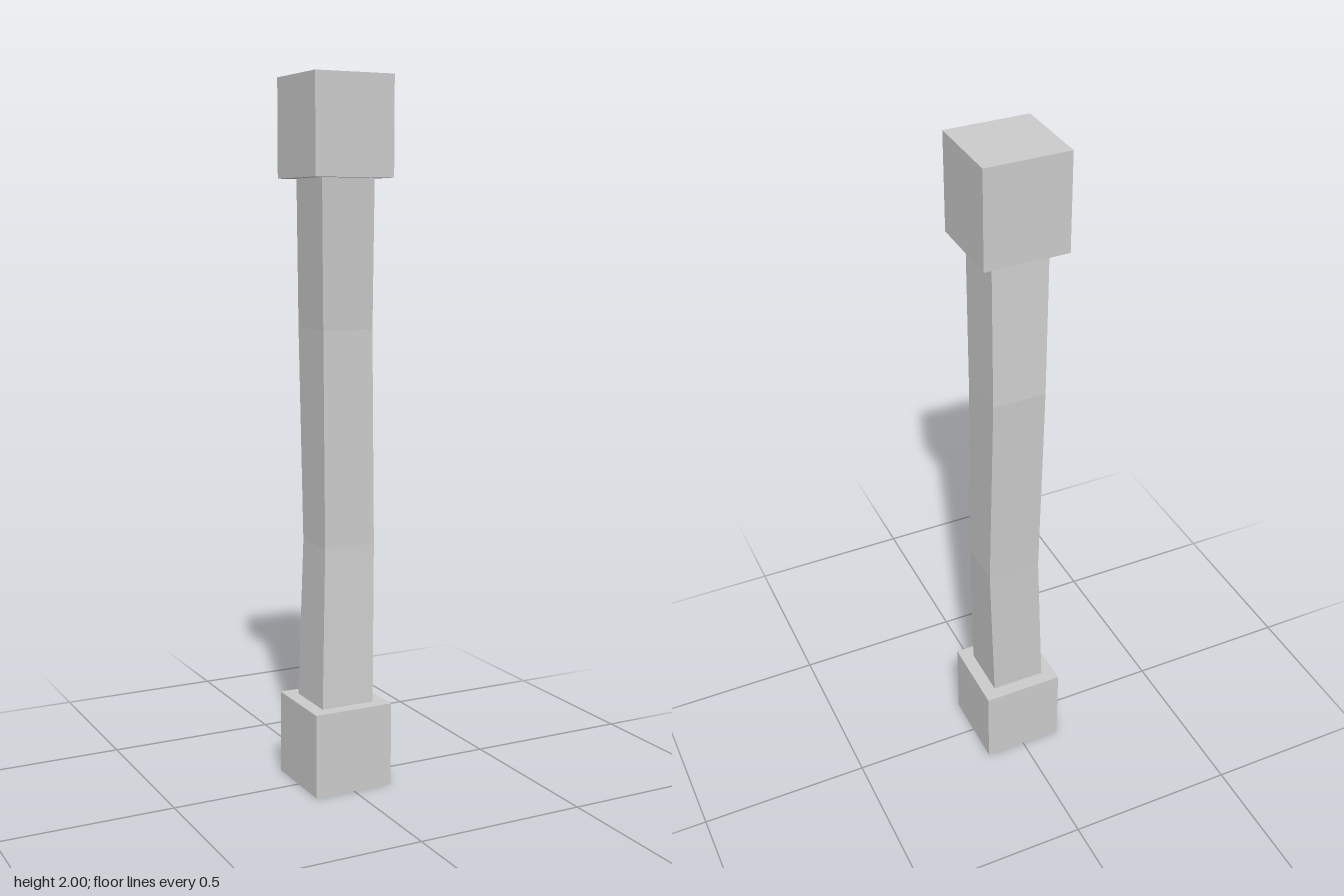
import * as THREE from 'three';

const material = new THREE.MeshStandardMaterial({ color: 0xcccccc, flatShading: true, side: THREE.DoubleSide });

// Box with some faces left out (0..5 = +x, -x, +y, -y, +z, -z)
function openBox(w, h, d, segments, omit) {
  const geo = new THREE.BoxGeometry(w, h, d, 1, segments, 1);
  const all = Array.from(geo.index.array);
  const kept = geo.groups
    .filter((g, i) => !omit.includes(i))
    .flatMap(g => all.slice(g.start, g.start + g.count));
  geo.setIndex(kept);
  geo.clearGroups();
  return geo;
}

export function createModel() {
  const group = new THREE.Group();
  const add = (name, geo) => {
    const mesh = new THREE.Mesh(geo, material);
    mesh.name = name;
    group.add(mesh);
  };

  // Hollow base block, open underneath
  add('baseBlock', openBox(0.238, 0.242, 0.238, 1, [3]).translate(0, 0.121, 0));

  // Square cap block
  add('capBlock', new THREE.BoxGeometry(0.238, 0.275, 0.238).translate(0, 1.8625, 0));

  // Slightly crooked post: each level is y, x min, x max, z min, z max
  const levels = [
    [0.242, -0.08, 0.08, -0.08, 0.08],
    [0.7, -0.06, 0.095, -0.085, 0.056],
    [1.31, -0.063, 0.09, -0.106, 0.052],
    [1.725, -0.08, 0.08, -0.08, 0.08],
  ];
  const post = openBox(1, 3, 1, 3, [2, 3]);
  const p = post.attributes.position;
  for (let i = 0; i < p.count; i++) {
    const [y, x0, x1, z0, z1] = levels[Math.round(p.getY(i) + 1.5)];
    p.setXYZ(i, p.getX(i) < 0 ? x0 : x1, y, p.getZ(i) < 0 ? z0 : z1);
  }
  post.computeVertexNormals();
  add('post', post);

  return group;
}
